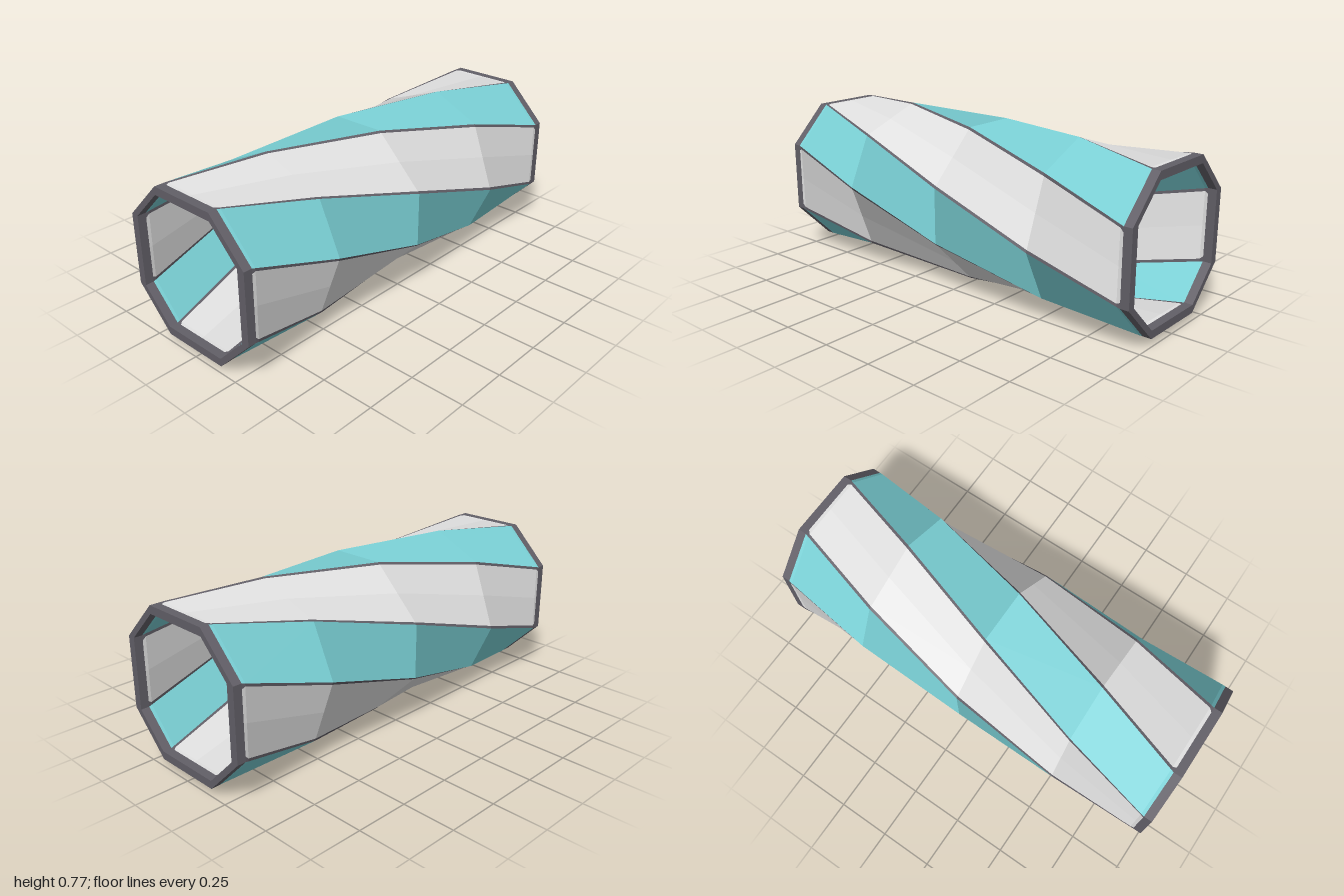
import * as THREE from 'three';

const CY = 0.386;                 // height of the tube axis
const OUT = 0.348, INN = 0.311;   // outer and inner distance of the wide sides
const HALF = 0.166;               // half width of a wide side
const END = 0.96;                 // where the twisted body meets the end rings
const STATIONS = [-0.96, -0.945, -0.53, 0, 0.53, 0.945, 0.96];

const mat = (name, color, side = THREE.FrontSide) => {
  const m = new THREE.MeshStandardMaterial({ color, side });
  m.name = name;
  return m;
};

// Trim gets wider at the very ends, which clips the panel corners
const trimWidth = (z) => (Math.abs(z) > 0.95 ? 0.024 : 0.013);

// Section point turned by the twist (a quarter turn over the body)
function place([x, y], z, turn) {
  const a = turn + (z / END - 1) * Math.PI / 4;
  return new THREE.Vector3(x * Math.cos(a) - y * Math.sin(a), CY + x * Math.sin(a) + y * Math.cos(a), z);
}

// Loft of a strip along the body: one flat normal per four-sided face
function strip(section, inward) {
  const pos = [], nor = [];
  for (let k = 0; k < 4; k++) {
    const turn = k * Math.PI / 2;
    for (let i = 0; i < STATIONS.length - 1; i++) {
      const z0 = STATIONS[i], z1 = STATIONS[i + 1];
      const back = section(z0).map((p) => place(p, z0, turn));
      const front = section(z1).map((p) => place(p, z1, turn));
      for (let j = 0; j < back.length - 1; j++) {
        const a = back[j], b = back[j + 1], c = front[j + 1], d = front[j];
        const n = c.clone().sub(a).cross(d.clone().sub(b)).normalize();
        if (inward) n.negate();
        const corners = inward ? [a, d, b, b, d, c] : [a, b, d, b, c, d];
        for (const v of corners) {
          pos.push(v.x, v.y, v.z);
          nor.push(n.x, n.y, n.z);
        }
      }
    }
  }
  const g = new THREE.BufferGeometry();
  g.setAttribute('position', new THREE.Float32BufferAttribute(pos, 3));
  g.setAttribute('normal', new THREE.Float32BufferAttribute(nor, 3));
  return g;
}

// Octagon with four wide and four narrow sides
function octagon(r) {
  const pts = [];
  for (let k = 0; k < 4; k++) {
    const c = Math.round(Math.cos(k * Math.PI / 2)), s = Math.round(Math.sin(k * Math.PI / 2));
    for (const y of [-HALF, HALF]) pts.push(new THREE.Vector2(r * c - y * s, r * s + y * c));
  }
  return pts;
}

export function createModel() {
  const group = new THREE.Group();
  group.name = 'twistedTube';
  const white = mat('whitePanel', 0xe0e0e0);
  const teal = mat('tealPanel', 0x7ad0d5);
  const dark = mat('darkFrame', 0x625f67);

  const add = (name, geometry, material) => {
    const m = new THREE.Mesh(geometry, material);
    m.name = name;
    group.add(m);
    return m;
  };

  // Outer and inner skins: white panels, teal panels and the trim between them
  for (const [skin, r, inward] of [['outer', OUT, false], ['inner', INN, true]]) {
    add(skin + 'WhitePanels', strip((z) => {
      const e = HALF - trimWidth(z);
      return [[r, -e], [r, 0], [r, e]];
    }, inward), white);
    add(skin + 'TealPanels', strip(() => [[r, HALF], [HALF, r]], inward), teal);
    add(skin + 'LowerTrim', strip((z) => [[r, -HALF], [r, -HALF + trimWidth(z)]], inward), dark);
    add(skin + 'UpperTrim', strip((z) => [[r, HALF - trimWidth(z)], [r, HALF]], inward), dark);
  }

  // End rings
  const ring = new THREE.Shape(octagon(OUT));
  ring.holes.push(new THREE.Path(octagon(INN)));
  const ringGeometry = new THREE.ExtrudeGeometry(ring, { depth: 1 - END, bevelEnabled: false });
  add('frontRing', ringGeometry, dark).position.set(0, CY, END);
  add('backRing', ringGeometry, dark).position.set(0, CY, -1);

  return group;
}
